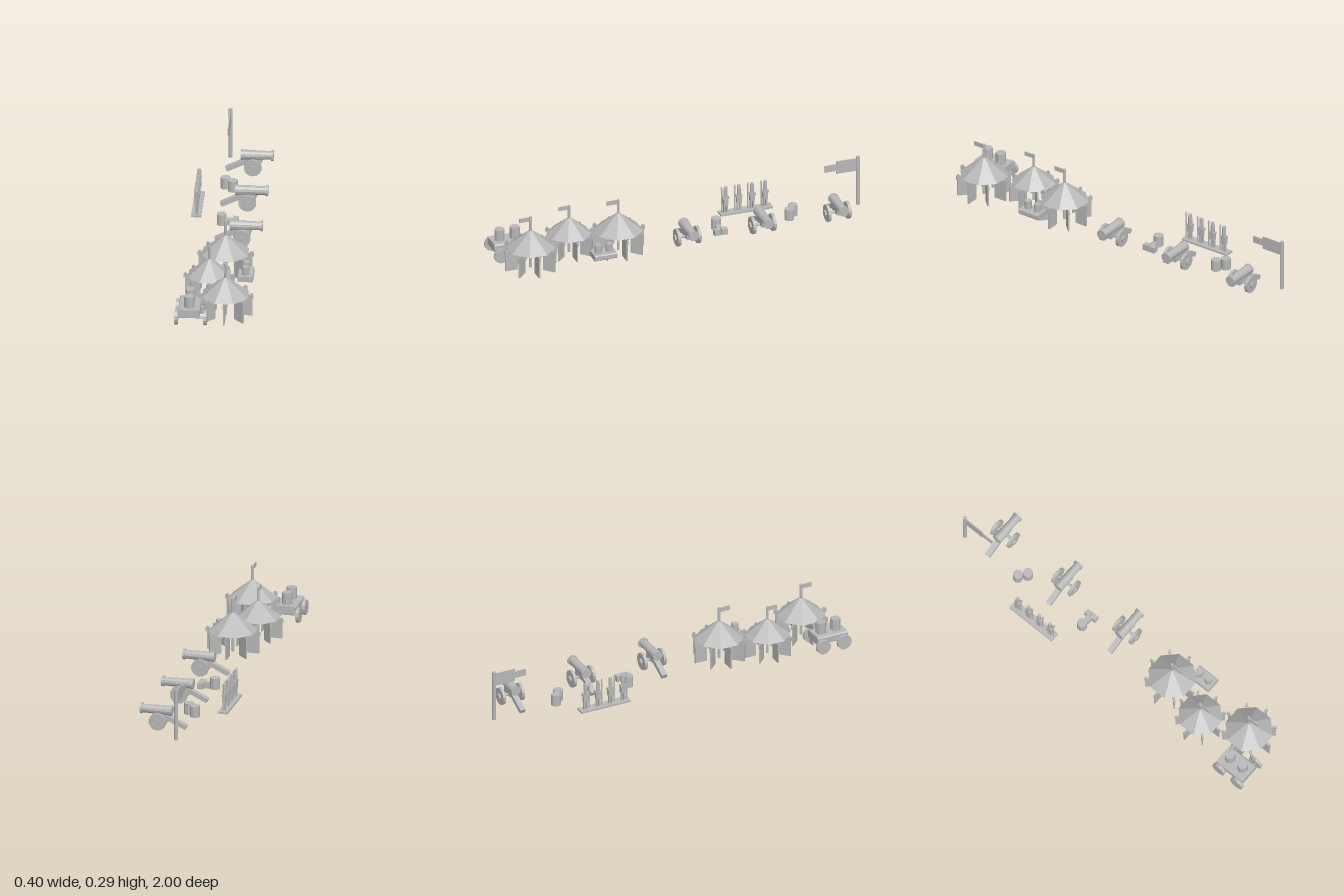
import * as THREE from 'three';

const grey = new THREE.MeshStandardMaterial({ color: 0xb8b8b8, flatShading: true, side: THREE.DoubleSide });
grey.name = 'plain grey';

function add(parent, name, geometry, x = 0, y = 0, z = 0) {
  const mesh = new THREE.Mesh(geometry, grey);
  mesh.name = name;
  mesh.position.set(x, y, z);
  parent.add(mesh);
  return mesh;
}
const box = (w, h, d) => new THREE.BoxGeometry(w, h, d);
const cyl = (r0, r1, h, n = 10) => new THREE.CylinderGeometry(r0, r1, h, n);

function section(parent, name, x, z, scale = 1) {
  const g = new THREE.Group();
  g.name = name;
  g.position.set(x, 0, z);
  g.scale.setScalar(scale);
  parent.add(g);
  return g;
}

// Thin outline standing in the y-z plane; points are [z, y]
function plate(points, thickness) {
  const shape = new THREE.Shape(points.map(([z, y]) => new THREE.Vector2(-z, y)));
  const geo = new THREE.ExtrudeGeometry(shape, { depth: thickness, bevelEnabled: false });
  return geo.translate(0, 0, -thickness / 2).rotateY(Math.PI / 2);
}

// Octagonal tent with radial wall panels, centre pole and pennant
function tent(parent, x, z, scale) {
  const g = section(parent, 'tent', x, z, scale);
  const roof = new THREE.CylinderGeometry(0.008, 0.127, 0.097, 8, 1, true);
  add(g, 'tentRoof', roof.rotateY(Math.PI / 8), 0, 0.1635);
  add(g, 'tentPole', cyl(0.008, 0.008, 0.29, 8), 0, 0.145);
  add(g, 'pennant', plate([[0.005, 0.264], [0.062, 0.264], [0.062, 0.288], [0.005, 0.288]], 0.005));
  for (let i = 0; i < 8; i++) {
    const spoke = new THREE.Group();
    spoke.name = 'wallPanel';
    spoke.rotation.y = i * Math.PI / 4;
    g.add(spoke);
    add(spoke, 'panelBoard', box(0.068, 0.113, 0.008), 0.105, 0.0565);
    add(spoke, 'panelTopBand', box(0.03, 0.02, 0.011), 0.13, 0.106);
    add(spoke, 'panelPeg', box(0.012, 0.008, 0.008), 0.135, 0.119);
  }
}

// Supply bed with chamfered corners carrying two barrels
function supplyBed(parent, x, z, scale) {
  const g = section(parent, 'supplyBed', x, z, scale);
  const w = 0.0565, h = 0.021, c = 0.006;
  const outline = new THREE.Shape([
    [-w + c, -h], [w - c, -h], [w, -h + c], [w, h - c],
    [w - c, h], [-w + c, h], [-w, h - c], [-w, -h + c],
  ].map(([px, py]) => new THREE.Vector2(px, py)));
  const bed = new THREE.ExtrudeGeometry(outline, { depth: 0.175, bevelEnabled: false });
  add(g, 'bed', bed.translate(0, 0, -0.0875), 0, 0.07);
  for (const s of [-1, 1]) {
    add(g, 'barrel', cyl(0.027, 0.027, 0.062), 0, 0.121, s * 0.042);
    add(g, 'barrelLid', cyl(0.021, 0.021, 0.003), 0, 0.1525, s * 0.042);
  }
  return g;
}

// Field cannon aimed along +x
function cannon(parent, z) {
  const g = section(parent, 'cannon', 0, z);
  add(g, 'cannonBarrel', cyl(0.022, 0.026, 0.16, 12).rotateZ(-Math.PI / 2), 0.1, 0.095);
  add(g, 'muzzleRing', cyl(0.028, 0.028, 0.012, 12).rotateZ(Math.PI / 2), 0.183, 0.095);
  add(g, 'breechRing', cyl(0.028, 0.028, 0.01, 12).rotateZ(Math.PI / 2), 0.026, 0.095);
  add(g, 'axle', cyl(0.008, 0.008, 0.12, 8).rotateX(Math.PI / 2), 0.085, 0.048);
  add(g, 'carriage', box(0.09, 0.035, 0.03), 0.08, 0.062);
  const trail = add(g, 'trail', box(0.13, 0.024, 0.03), 0.004, 0.04);
  trail.rotation.z = 0.45;
  for (const s of [-1, 1]) {
    add(g, 'wheel', cyl(0.046, 0.046, 0.016, 14).rotateX(Math.PI / 2), 0.085, 0.048, s * 0.055);
    add(g, 'wheelHub', cyl(0.017, 0.017, 0.012, 8).rotateX(Math.PI / 2), 0.085, 0.048, s * 0.067);
  }
}

// Guard standing with a spear at his side
function guard(parent, z) {
  const g = section(parent, 'guard', 0, z);
  for (const s of [-1, 1]) add(g, 'leg', box(0.012, 0.045, 0.009), 0, 0.032, s * 0.007);
  add(g, 'torso', box(0.02, 0.045, 0.026), 0, 0.075);
  add(g, 'shoulders', box(0.022, 0.012, 0.034), 0, 0.092);
  add(g, 'head', cyl(0.011, 0.011, 0.032, 8), 0, 0.114);
  add(g, 'hat', cyl(0.009, 0.011, 0.024, 8), 0, 0.142);
  add(g, 'spearShaft', cyl(0.004, 0.004, 0.135, 6), 0.002, 0.077, 0.023);
  add(g, 'spearTip', new THREE.ConeGeometry(0.008, 0.022, 6), 0.002, 0.154, 0.023);
}

export function createModel() {
  const model = new THREE.Group();
  model.name = 'militaryCamp';

  tent(model, 0.054, 0.835, 1);
  tent(model, -0.044, 0.59, 0.92);
  tent(model, 0.022, 0.345, 1);

  // Wheeled cart and smaller bed
  const cart = supplyBed(model, -0.125, 0.9, 1);
  cart.name = 'supplyCart';
  for (const z of [-0.06, 0.06]) {
    add(cart, 'cartAxle', cyl(0.006, 0.006, 0.15, 8).rotateZ(Math.PI / 2), 0.009, 0.04, z);
    for (const x of [-0.066, 0.084]) {
      add(cart, 'cartWheel', cyl(0.04, 0.04, 0.017, 12).rotateZ(Math.PI / 2), x, 0.04, z);
    }
  }
  supplyBed(model, 0.135, 0.465, 0.71);

  for (const z of [-0.01, -0.42, -0.83]) cannon(model, z);

  // Row of guards on a plinth
  const row = section(model, 'guardRow', -0.173, -0.42);
  add(row, 'plinth', box(0.052, 0.01, 0.285), 0, 0.005);
  for (let i = 0; i < 4; i++) guard(row, -0.108 + i * 0.072);

  // Loose stores
  add(model, 'storeBarrel', cyl(0.026, 0.026, 0.06), -0.045, 0.03, -0.633);
  add(model, 'storeBarrel', cyl(0.026, 0.026, 0.06), -0.005, 0.03, -0.6);
  add(model, 'storeBarrel', cyl(0.026, 0.026, 0.06), -0.036, 0.03, -0.21);
  add(model, 'crate', box(0.03, 0.032, 0.034), 0.036, 0.016, -0.19);
  add(model, 'crate', box(0.03, 0.032, 0.034), 0.036, 0.016, -0.228);
  add(model, 'crate', box(0.034, 0.032, 0.03), 0.008, 0.016, -0.21);

  // Tall banner with a stepped tail
  const banner = section(model, 'banner', -0.044, -0.99);
  add(banner, 'bannerPole', cyl(0.011, 0.011, 0.276, 8), 0, 0.138);
  add(banner, 'bannerCloth', plate([
    [0.008, 0.196], [0.12, 0.196], [0.12, 0.213], [0.182, 0.213],
    [0.182, 0.25], [0.12, 0.25], [0.12, 0.266], [0.008, 0.266],
  ], 0.006));
  return model;
}
